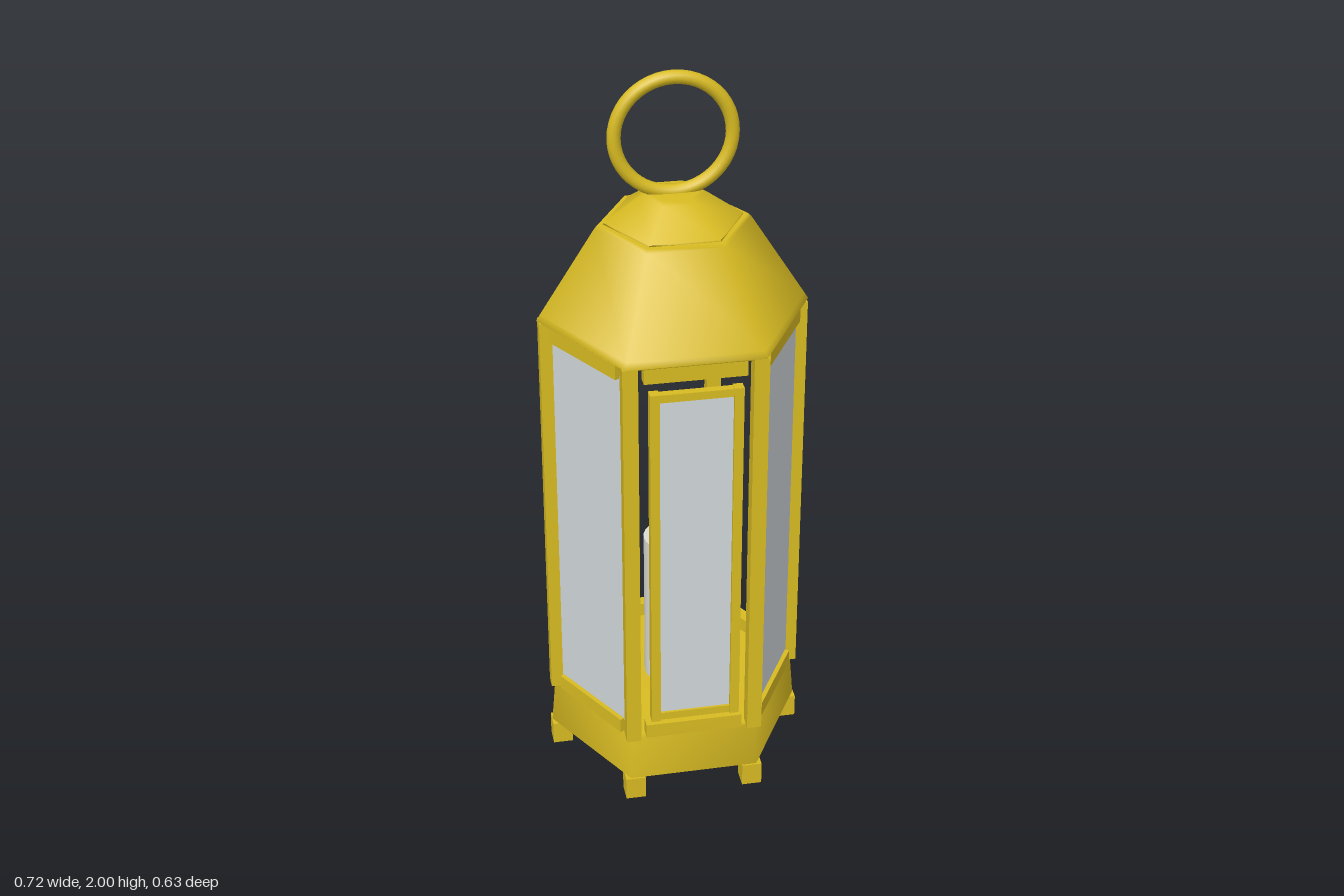
import * as THREE from 'three';

export function createModel() {
  const model = new THREE.Group();
  const body = new THREE.Group();
  body.name = 'lantern';
  body.position.z = -0.007; // the door stands proud of the front
  model.add(body);

  const brass = new THREE.MeshStandardMaterial({ color: 0xd8bb22 });
  brass.name = 'brass';
  const glass = new THREE.MeshStandardMaterial({ color: 0xd2d9dc });
  glass.name = 'frosted glass';
  const wax = new THREE.MeshStandardMaterial({ color: 0xdcdcd8 });
  wax.name = 'candle wax';

  const add = (name, geometry, material, x = 0, y = 0, z = 0, parent = body) => {
    const mesh = new THREE.Mesh(geometry, material);
    mesh.name = name;
    mesh.position.set(x, y, z);
    parent.add(mesh);
    return mesh;
  };
  const box = (name, w, h, d, x, y, z, parent = body) =>
    add(name, new THREE.BoxGeometry(w, h, d), brass, x, y, z, parent);
  // Six-sided turned shape with corners on the x axis
  const hex = (name, profile) => add(name, new THREE.LatheGeometry(
    profile.map(([r, y]) => new THREE.Vector2(r, y)), 6, Math.PI / 6), brass);

  // Base and two-stage roof, with softened edges
  hex('base', [[0, 0.06], [0.345, 0.06], [0.354, 0.066], [0.343, 0.194], [0.335, 0.2], [0, 0.2]]);
  hex('roof', [[0, 1.34], [0.352, 1.34], [0.36, 1.346], [0.35, 1.363], [0.203, 1.594], [0.194, 1.603], [0, 1.603]]);
  hex('roofCap', [[0, 1.598], [0.186, 1.598], [0.18, 1.606], [0.085, 1.672], [0.07, 1.68], [0, 1.68]]);

  // Carrying ring
  add('ring', new THREE.TorusGeometry(0.151, 0.018, 12, 48), brass, 0, 1.831, 0);

  // Feet and posts at the six corners
  for (let i = 0; i < 6; i++) {
    const a = (i * Math.PI) / 3;
    const c = Math.cos(a), s = Math.sin(a);
    box('foot', 0.055, 0.066, 0.055, 0.328 * c, 0.033, 0.328 * s);
    box('post', 0.04, 1.15, 0.04, 0.335 * c, 0.77, 0.335 * s);
  }

  // Rails on all six sides, glass on all but the front
  for (let i = 0; i < 6; i++) {
    const side = new THREE.Group();
    side.name = i === 0 ? 'frontSide' : 'side';
    side.rotation.y = (i * Math.PI) / 3;
    body.add(side);
    for (const y of [0.22, 1.32]) box('rail', 0.265, 0.042, 0.035, 0, y, 0.288, side);
    if (i > 0) add('pane', new THREE.PlaneGeometry(0.276, 1.07), glass, 0, 0.77, 0.293, side);
  }

  // Framed glass door
  const door = new THREE.Group();
  door.name = 'door';
  door.position.set(0, 0.769, 0.308);
  body.add(door);
  for (const s of [-1, 1]) {
    box('doorStile', 0.025, 1.01, 0.028, s * 0.108, 0, 0, door);
    box('doorRail', 0.2, 0.022, 0.022, 0, s * 0.492, 0, door);
  }
  add('doorPane', new THREE.BoxGeometry(0.2, 0.97, 0.008), glass, 0, 0, 0, door);

  // Candle
  add('candle', new THREE.CylinderGeometry(0.083, 0.083, 0.45, 24), wax, 0, 0.425, 0);

  return model;
}
